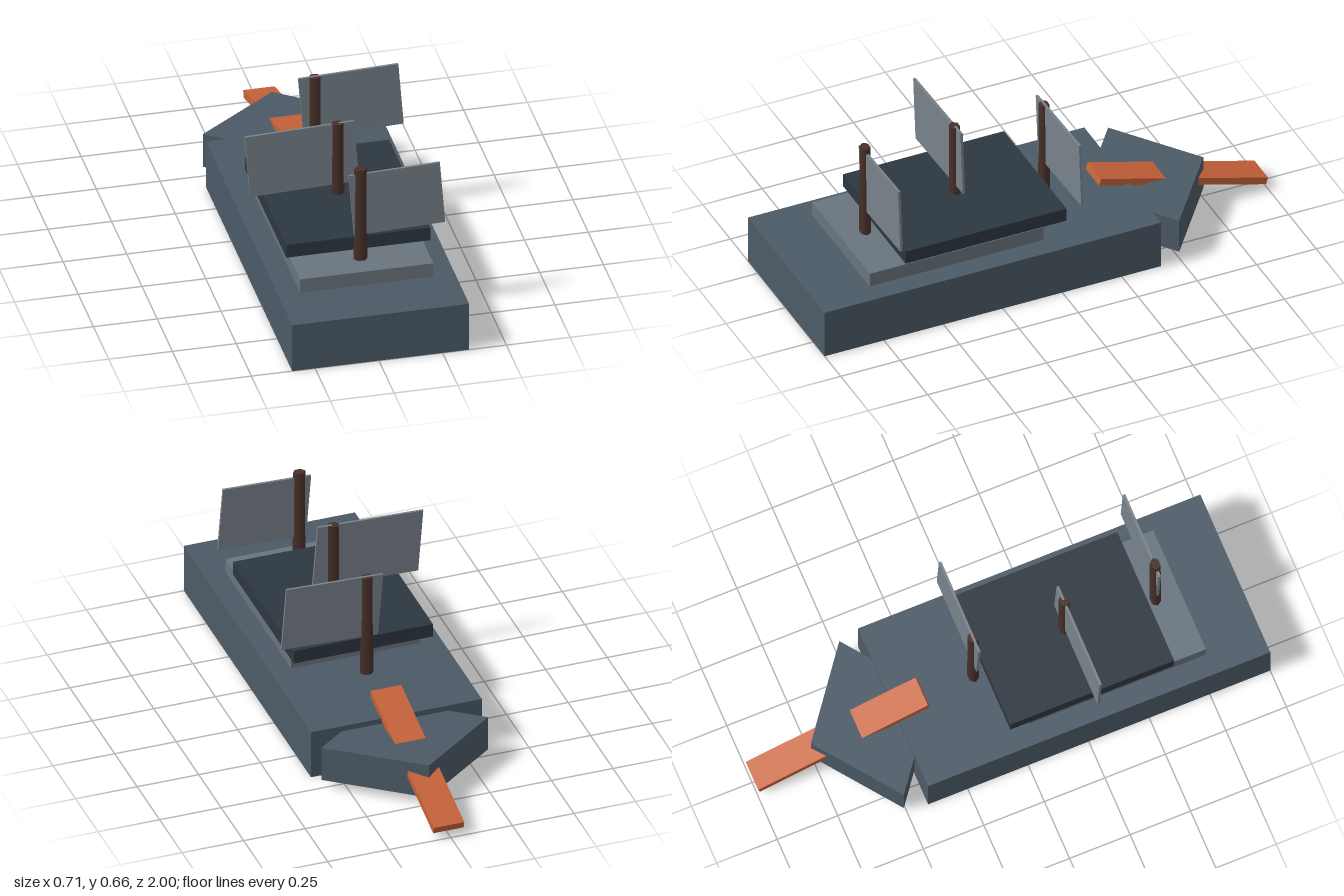
import * as THREE from 'three';

const CX = 0.007; // centre line of the ship

const mat = (color) => new THREE.MeshStandardMaterial({ color });
const slate = mat(0x4c5a66), grey = mat(0x69747d), dark = mat(0x2d3740);
const wood = mat(0x48302a), canvas = mat(0x78828a), orange = mat(0xc6623a);

export function createModel() {
  const model = new THREE.Group();

  const add = (name, geometry, material, x = 0, y = 0, z = 0) => {
    const mesh = new THREE.Mesh(geometry, material);
    mesh.name = name;
    mesh.position.set(x, y, z);
    model.add(mesh);
    return mesh;
  };

  // Box given by its extents
  const block = (name, material, [x0, x1], [y0, y1], [z0, z1]) =>
    add(name, new THREE.BoxGeometry(x1 - x0, y1 - y0, z1 - z0), material,
      (x0 + x1) / 2, (y0 + y1) / 2, (z0 + z1) / 2);

  // Outline extruded along z, centred on its thickness
  const slab = (points, depth) => {
    const shape = new THREE.Shape(points.map(([x, y]) => new THREE.Vector2(x, y)));
    return new THREE.ExtrudeGeometry(shape, { depth, bevelEnabled: false }).translate(0, 0, -depth / 2);
  };

  // Hull and stacked decks
  block('hull', slate, [-0.34, 0.354], [0, 0.203], [-0.414, 1]);
  block('lowerDeck', grey, [-0.254, 0.269], [0.203, 0.262], [0.04, 0.77]);
  block('upperDeck', dark, [-0.275, 0.29], [0.281, 0.337], [-0.047, 0.63]);

  // Diamond-shaped prow, half sunk into the hull
  const prow = slab([[0, 0.757], [-0.33, 0.51], [0.012, 0.25], [0.342, 0.497]], 0.145);
  add('prow', prow.rotateX(-Math.PI / 2), slate, 0, 0.1075, 0);

  // Sloping plank that runs through the prow
  const ram = add('ram', new THREE.BoxGeometry(0.123, 0.03, 0.73), orange, CX - 0.001, 0.143, -0.643);
  ram.rotation.x = -0.28;

  // Masts, each with a thin leaning sail: z, mast foot, mast top, sail left, sail right (at the top)
  const rigs = [
    [0.669, 0.262, 0.66, -0.04, 0.317],
    [0.292, 0.262, 0.645, -0.358, 0.07],
    [-0.084, 0.203, 0.635, -0.058, 0.334],
  ];
  for (const [z, foot, top, left, right] of rigs) {
    const mast = new THREE.CylinderGeometry(0.025, 0.027, top - foot, 6);
    mast.rotateY(Math.PI / 6).scale(1, 1, 0.8);
    add('mast', mast, wood, CX, (foot + top) / 2, z);

    const rise = (right - left) * 0.034, lean = 0.021;
    const yTop = 0.647 - rise, yLow = 0.381 - rise;
    const outline = [
      [left + lean, yLow], [right + lean, yLow + rise],
      [right, yTop + rise], [left, yTop],
    ];
    add('sail', slab(outline, 0.01), canvas, 0, 0, z);
  }

  return model;
}
